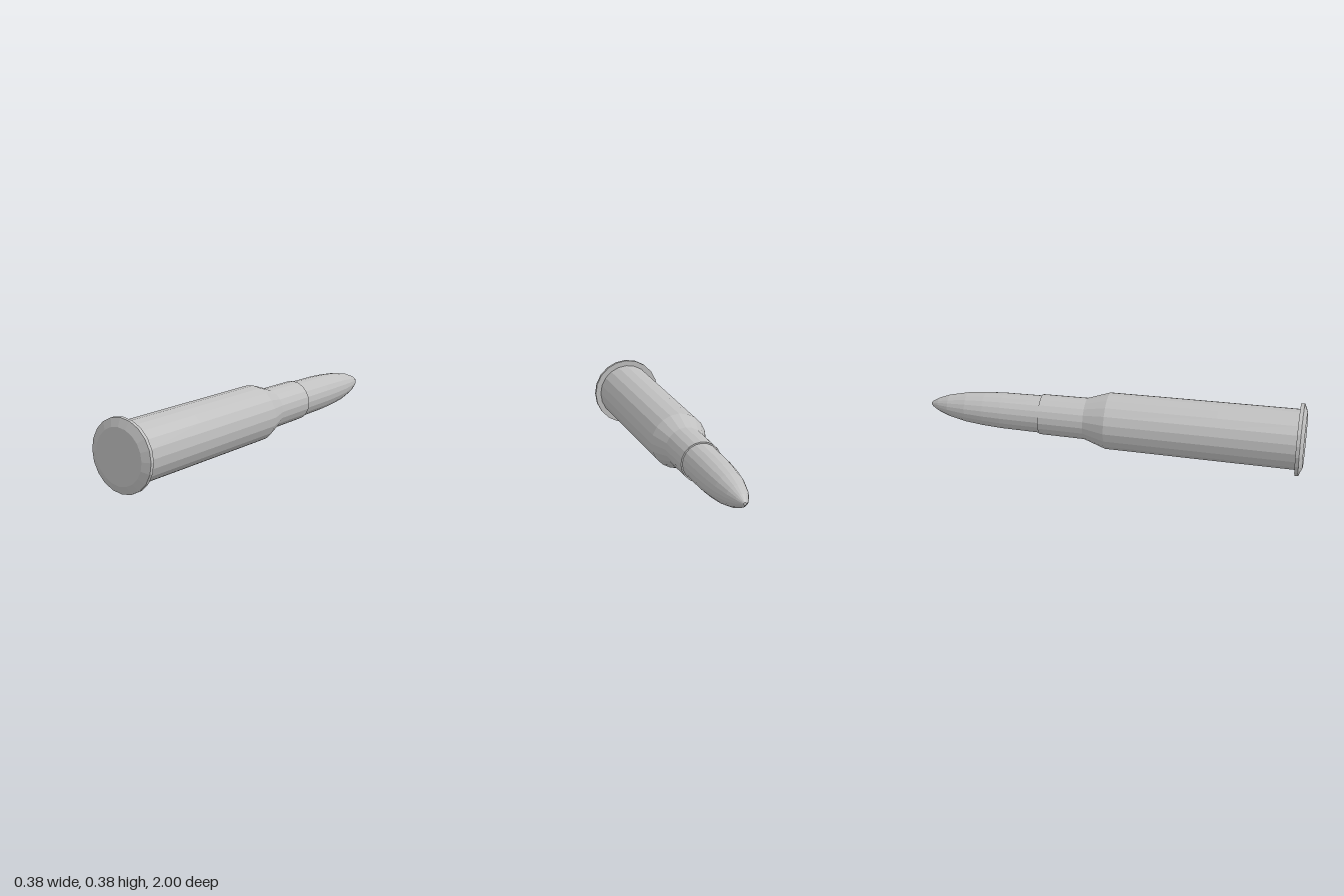
import * as THREE from 'three';

const SIDES = 20;
const RADIUS = 0.188; // rim radius, also the height of the axis

export function createModel() {
  const group = new THREE.Group();
  group.name = 'cartridge';
  const metal = new THREE.MeshStandardMaterial({ color: 0xc0c0c0 });
  metal.name = 'grey metal';
  metal.flatShading = true;

  // Turns a profile of [z, radius] pairs, running from front to back
  function turned(name, profile) {
    const points = profile.map(([z, r]) => new THREE.Vector2(r, -z));
    const geometry = new THREE.LatheGeometry(points, SIDES);
    geometry.rotateX(-Math.PI / 2);
    const mesh = new THREE.Mesh(geometry, metal);
    mesh.name = name;
    mesh.position.y = RADIUS;
    group.add(mesh);
  }

  // Flat base with a chamfered rim
  turned('rim', [[1, 0], [1, 0.145], [0.982, RADIUS], [0.963, RADIUS], [0.963, 0.15]]);

  // Tapered body, shoulder, neck and the lip around the mouth
  turned('case', [[0.963, 0.158], [0.55, 0.155], [-0.03, 0.15],
    [-0.148, 0.11], [-0.39, 0.107], [-0.39, 0.095]]);

  // Pointed tip seated in the neck
  turned('bullet', [[-0.37, 0.1], [-0.6, 0.096], [-0.7, 0.09], [-0.8, 0.079],
    [-0.9, 0.057], [-0.96, 0.034], [-0.99, 0.016], [-1, 0.007], [-1, 0]]);

  return group;
}
